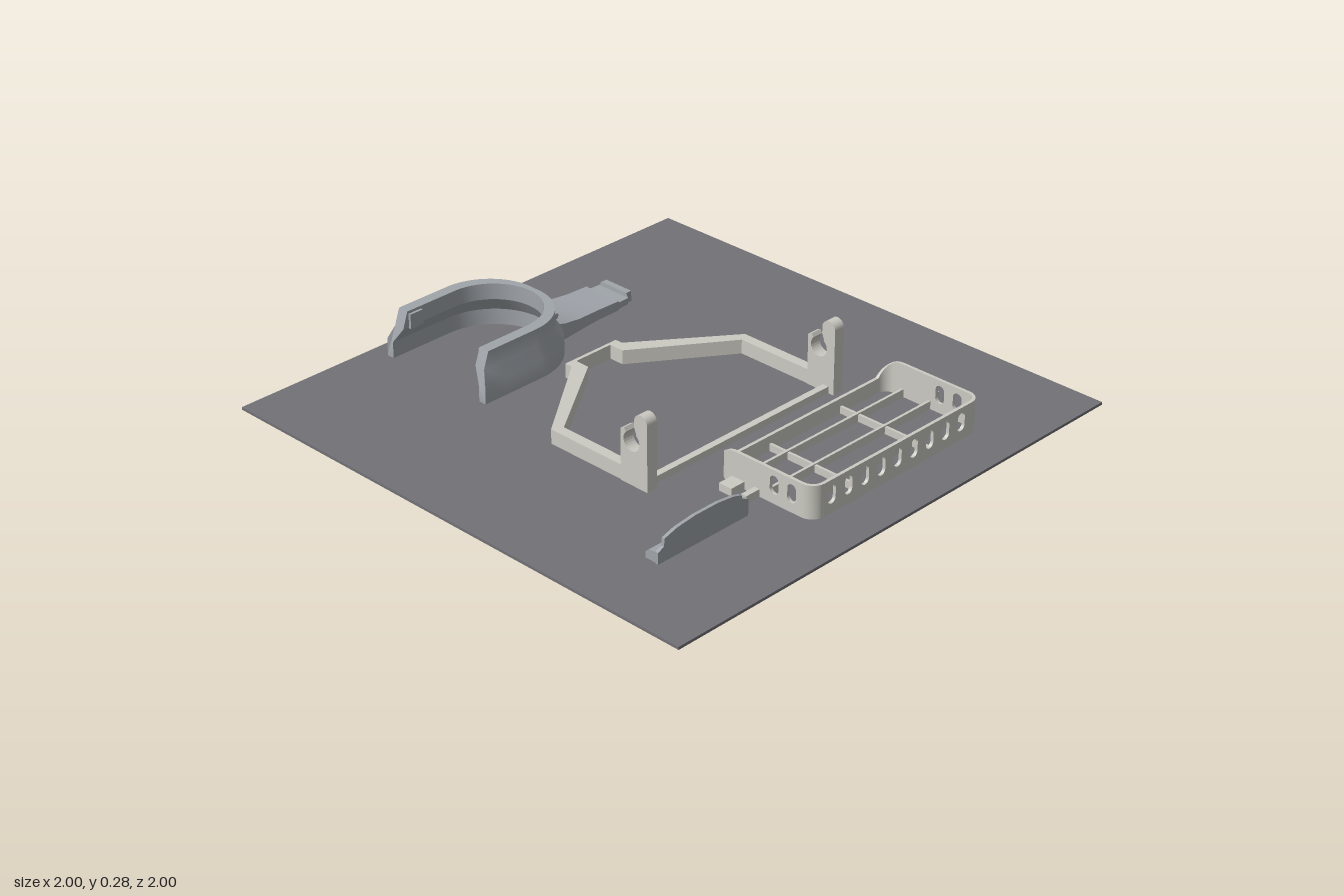
import * as THREE from 'three';
import { toCreasedNormals } from 'three/addons/utils/BufferGeometryUtils.js';

const flat = (name, color) => {
  const m = new THREE.MeshStandardMaterial({ color });
  m.name = name;
  return m;
};
const BASE = 0.01; // top of the bed, where every part rests

// Skin a row of rings [[x,y,z],...]; profile(s) run counter-clockwise in (outward, up)
function skin(rings, profile) {
  const n = profile.length, index = [];
  for (let i = 0; i < rings.length - 1; i++) {
    for (let j = 0; j < n; j++) {
      const a = i * n + j, b = i * n + (j + 1) % n;
      index.push(a, b, b + n, a, b + n, a + n);
    }
  }
  const caps = THREE.ShapeUtils.triangulateShape(profile.map(([u, v]) => new THREE.Vector2(u, v)), []);
  const last = (rings.length - 1) * n;
  for (const [a, b, c] of caps) index.push(c, b, a, last + a, last + b, last + c);
  const g = new THREE.BufferGeometry();
  g.setAttribute('position', new THREE.Float32BufferAttribute(rings.flat(2), 3));
  g.setIndex(index);
  return toCreasedNormals(g, 0.5);
}

const polygon = (pts) => new THREE.Shape(pts.map(([x, y]) => new THREE.Vector2(x, y)));
const extrude = (shape, depth) =>
  new THREE.ExtrudeGeometry(shape, { depth, bevelEnabled: false, curveSegments: 10 });

export function createModel() {
  const bedGray = flat('bedGray', 0x727177);
  const warmGray = flat('warmGray', 0xcbcac2);
  const coolGray = flat('coolGray', 0xa0a5ab);
  const model = new THREE.Group();

  const group = (name) => {
    const g = new THREE.Group();
    g.name = name;
    model.add(g);
    return g;
  };
  const add = (parent, name, geometry, material) => {
    const m = new THREE.Mesh(geometry, material);
    m.name = name;
    parent.add(m);
    return m;
  };
  // Box given by its limits
  const block = (parent, name, x0, x1, y0, y1, z0, z1, material) =>
    add(parent, name, new THREE.BoxGeometry(x1 - x0, y1 - y0, z1 - z0), material)
      .position.set((x0 + x1) / 2, (y0 + y1) / 2, (z0 + z1) / 2);

  block(model, 'bed', -1, 1, 0, BASE, -1, 1, bedGray);

  // ---- U-shaped clamp with a flared skirt
  const clamp = group('clamp');
  const cx = -0.685, cz = 0.175;
  const clampProfile = (side) => {
    const out = 0.202 + 0.02 * side; // the upper wall is thinner at the back
    return [[0.215, BASE], [0.245, BASE], [0.245, 0.075], [out, 0.125],
      [out, 0.185], [0.18, 0.185], [0.18, 0.125], [0.215, 0.07]];
  };
  const clampRings = [];
  const armRing = (s, z, slant) => clampRings.push(clampProfile(1).map(([u, y]) =>
    [cx + s * u, y, z - slant * Math.max(0, y - 0.07) * 0.35]));
  armRing(-1, 0.43, 1);
  armRing(-1, 0.33, 0);
  for (let i = 0; i <= 36; i++) {
    const a = Math.PI * (1 + i / 36), c = Math.cos(a), s = Math.sin(a);
    clampRings.push(clampProfile(Math.abs(c)).map(([u, y]) => [cx + u * c, y, cz + u * s]));
  }
  armRing(1, 0.33, 0);
  armRing(1, 0.43, 1);
  add(clamp, 'clampBand', skin(clampRings, clampProfile(1)), coolGray);
  for (const s of [-1, 1]) {
    const x = cx + s * 0.178;
    block(clamp, 'armCatch', x - 0.008, x + 0.008, 0.12, 0.175, 0.33, 0.385, coolGray);
  }

  // Tongue: [z, half width, top]
  const tongueRows = [
    [-0.43, 0.062, 0.05], [-0.405, 0.062, 0.05], [-0.404, 0.072, 0.035], [-0.352, 0.075, 0.035],
    [-0.35, 0.081, 0.045], [-0.25, 0.082, 0.048], [-0.15, 0.092, 0.055], [-0.07, 0.102, 0.07], [-0.04, 0.102, 0.08],
  ];
  const box2 = [[-1, 0], [1, 0], [1, 1], [-1, 1]];
  add(clamp, 'tongue', skin(tongueRows.map(([z, w, top]) =>
    box2.map(([u, v]) => [cx + u * w, v ? top : BASE, z])), box2), coolGray);
  // Small hump where tongue meets band
  add(clamp, 'tongueHump', skin([[-0.115, 0.025, 0.06], [-0.085, 0.05, 0.085], [-0.04, 0.075, 0.1]]
    .map(([z, w, top]) => box2.map(([u, v]) => [cx + u * w, v ? top : BASE, z])), box2), coolGray);

  // ---- Open frame with two hooked posts
  const frame = group('frame');
  const half = [[-0.355, 0.118], [-0.1, 0.455], [0.335, 0.455], [0.335, 0.417], [-0.08, 0.417], [-0.315, 0.08]];
  const flip = (pts) => pts.map(([x, z]) => [x, -z]).reverse();
  const bars = polygon([...flip(half), [-0.372, -0.08], [-0.372, 0.08], ...[...half].reverse(),
    [-0.385, 0.118], [-0.385, -0.118]].length ? [
    [-0.385, -0.118], ...half.slice(0, 4).map(([x, z]) => [x, -z]), ...half.slice(4).map(([x, z]) => [x, -z]),
    [-0.372, -0.08], [-0.372, 0.08], ...half.slice().reverse(), [-0.385, 0.118],
  ] : []);
  const barsGeo = extrude(bars, 0.053);
  barsGeo.rotateX(-Math.PI / 2);
  add(frame, 'frameBars', barsGeo, warmGray).position.y = BASE;
  block(frame, 'crossBar', 0.29, 0.315, BASE, 0.035, -0.42, 0.42, warmGray);

  // Post outline with a round seat open to the upper left
  const post = new THREE.Shape();
  post.moveTo(0.22, BASE);
  post.lineTo(0.337, BASE);
  post.lineTo(0.337, 0.248);
  post.absarc(0.309, 0.248, 0.028, 0, Math.PI, false);
  post.lineTo(0.281, 0.222);
  post.lineTo(0.29, 0.2);
  post.absarc(0.268, 0.168, 0.035, 0.95, -Math.PI * 1.25, true);
  post.lineTo(0.236, 0.206);
  post.lineTo(0.22, 0.198);
  for (const z of [-0.458, 0.415]) add(frame, 'hookPost', extrude(post, 0.043), warmGray).position.z = z;

  // ---- Basket with slotted walls, low on its right side
  const basket = group('basket');
  const T = 0.012, R = 0.05, TOP = 0.13;
  const X0 = 0.42, X1 = 0.825, Z0 = -0.58, Z1 = 0.23, MID = 0.62;
  const rim = (x) => x >= 0.5 ? TOP : 0.065 + 0.065 * Math.sqrt(Math.max(0, 1 - ((0.5 - x) / 0.08) ** 2));
  const wallRing = (x, z, a) => {
    const c = Math.cos(a), s = Math.sin(a), h = rim(x + R * c);
    return [[R - T, BASE], [R, BASE], [R, h], [R - T, h]].map(([u, y]) => [x + u * c, y, z + u * s]);
  };
  const corner = (x, z, quarter) =>
    Array.from({ length: 9 }, (_, i) => wallRing(x, z, (quarter + i / 8) * Math.PI / 2));
  const lowWall = [
    wallRing(MID, Z1 - R, Math.PI / 2), wallRing(0.5, Z1 - R, Math.PI / 2), wallRing(0.485, Z1 - R, Math.PI / 2),
    ...corner(X0 + R, Z1 - R, 1), ...corner(X0 + R, Z0 + R, 2),
    wallRing(0.485, Z0 + R, Math.PI * 1.5), wallRing(0.5, Z0 + R, Math.PI * 1.5), wallRing(MID, Z0 + R, Math.PI * 1.5),
  ];
  add(basket, 'lowWall', skin(lowWall, box2), warmGray);
  add(basket, 'backCorner', skin(corner(X1 - R, Z0 + R, 3), box2), warmGray);
  add(basket, 'frontCorner', skin(corner(X1 - R, Z1 - R, 0), box2), warmGray);

  // Flat wall with rounded slots
  const slottedWall = (a, b, slots) => {
    const s = polygon([[a, BASE], [b, BASE], [b, TOP], [a, TOP]]), r = 0.018;
    for (const c of slots) {
      const hole = new THREE.Path();
      hole.absarc(c, 0.092, r, 0, Math.PI, false);
      hole.absarc(c, 0.062, r, Math.PI, Math.PI * 2, false);
      hole.closePath();
      s.holes.push(hole);
    }
    return extrude(s, T);
  };
  for (const z of [Z0, Z1 - T]) {
    add(basket, 'endWall', slottedWall(MID, X1 - R, [0.662, 0.735]), warmGray).position.z = z;
  }
  const longSlots = Array.from({ length: 9 }, (_, i) => 0.145 - i * 0.078);
  const longWall = slottedWall(Z0 + R, Z1 - R, longSlots);
  longWall.rotateY(-Math.PI / 2);
  add(basket, 'longWall', longWall, warmGray).position.x = X1;

  // Floor grid
  for (const x of [0.505, 0.62, 0.735]) {
    block(basket, 'longRib', x - 0.005, x + 0.005, BASE, 0.04, Z0 + 0.005, Z1 - 0.005, warmGray);
  }
  for (const z of [-0.345, -0.005]) {
    block(basket, 'crossRib', X0 + 0.005, X1 - 0.005, BASE, 0.036, z - 0.005, z + 0.005, warmGray);
  }
  // Hinge tabs at both ends
  for (const [z0, z1] of [[Z0 - 0.06, Z0 + 0.005], [Z1 - 0.005, Z1 + 0.06]]) {
    block(basket, 'wideTab', 0.485, 0.538, BASE, 0.038, z0, z1, warmGray);
    block(basket, 'narrowTab', 0.58, 0.602, BASE, 0.038, z0, z1, warmGray);
  }

  // ---- Loose lever: low base strip with an arched fin
  const lever = group('lever');
  const strip = extrude(polygon([[0.595, BASE], [0.65, BASE], [0.65, 0.05], [0.61, 0.045], [0.595, 0.032]]), 0.39);
  add(lever, 'leverBase', strip, coolGray).position.z = 0.337;
  const fin = extrude(polygon([[0.335, BASE], [0.73, BASE], [0.73, 0.052], [0.705, 0.062], [0.702, 0.09],
    [0.65, 0.105], [0.57, 0.114], [0.47, 0.114], [0.4, 0.106], [0.365, 0.095], [0.362, 0.08], [0.335, 0.07]]), 0.012);
  fin.rotateY(-Math.PI / 2);
  add(lever, 'leverFin', fin, coolGray).position.x = 0.652;

  return model;
}
